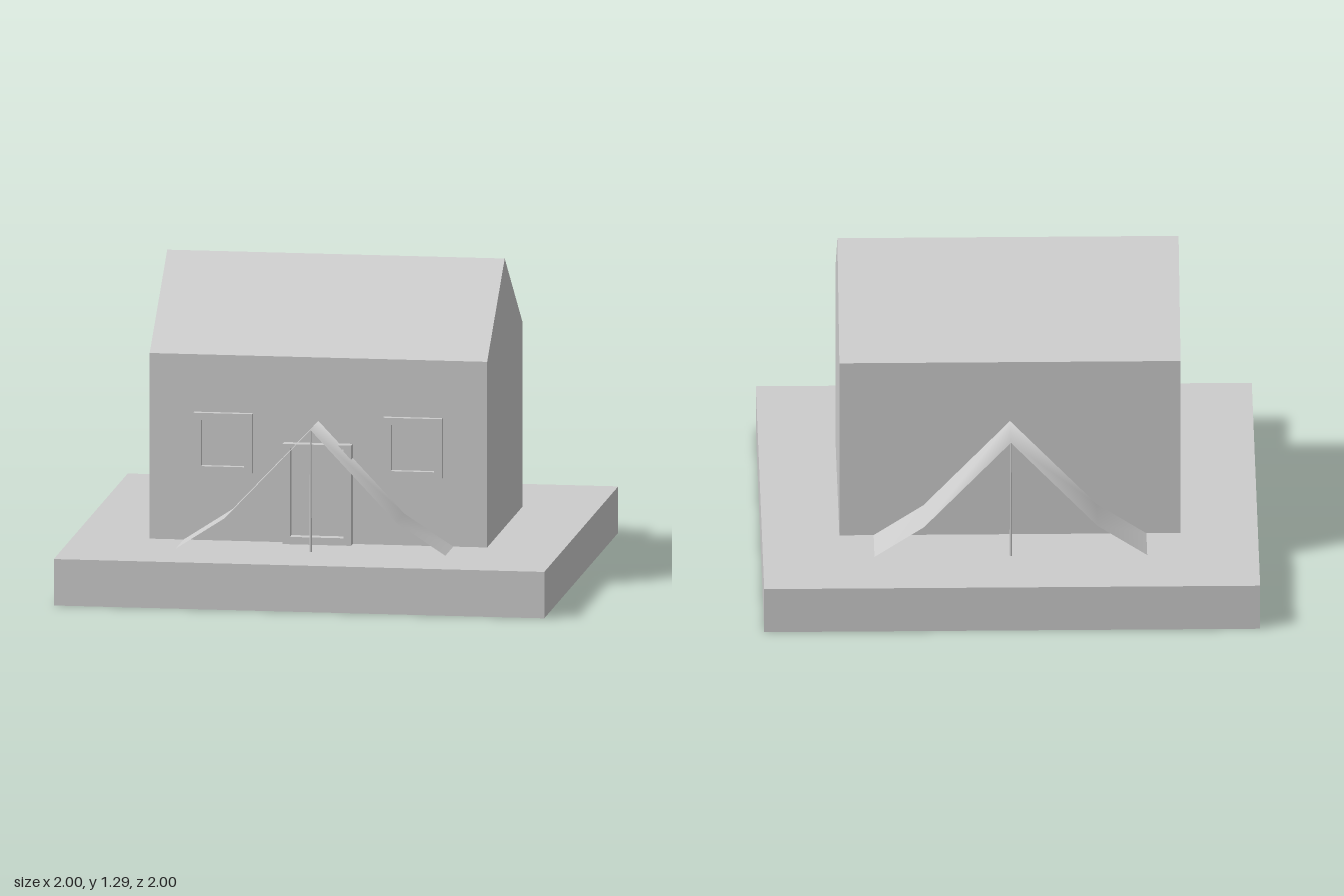
import * as THREE from 'three';

const material = new THREE.MeshStandardMaterial({ color: 0xcccccc });
const sheetMaterial = new THREE.MeshStandardMaterial({ color: 0xcccccc, side: THREE.DoubleSide });

const GROUND = 0.19, WALL_Z = 0.475, CANOPY_Z = 0.69;

function addMesh(parent, name, geometry, mat = material) {
  const mesh = new THREE.Mesh(geometry, mat);
  mesh.name = name;
  parent.add(mesh);
  return mesh;
}

// Closed path through the corners of a rectangle
function rectangle(Type, x0, y0, x1, y1) {
  return new Type([[x0, y0], [x1, y0], [x1, y1], [x0, y1]].map(p => new THREE.Vector2(...p)));
}

// Rectangular surround standing proud of the front wall
function addFrame(parent, name, outer, inner, depth) {
  const shape = rectangle(THREE.Shape, ...outer);
  shape.holes.push(rectangle(THREE.Path, ...inner));
  const geometry = new THREE.ExtrudeGeometry(shape, { depth, bevelEnabled: false });
  addMesh(parent, name, geometry).position.z = WALL_Z;
}

// Smooth thin sheet: a tent profile swept along z
function canopyGeometry(z0, z1) {
  const profile = [[-0.55, 0.19], [-0.35, 0.32], [0, 0.69], [0.35, 0.32], [0.55, 0.19]];
  const geometry = new THREE.PlaneGeometry(1, 1, profile.length - 1, 1);
  const position = geometry.attributes.position;
  for (let i = 0; i < position.count; i++) {
    const [x, y] = profile[i % profile.length];
    position.setXYZ(i, x, y, i < profile.length ? z0 : z1);
  }
  geometry.computeVertexNormals();
  return geometry;
}

export function createModel() {
  const model = new THREE.Group();
  model.name = 'cottage';

  // Square ground slab
  addMesh(model, 'groundSlab', new THREE.BoxGeometry(2, GROUND, 2)).position.y = GROUND / 2;

  // Gabled house, extruded from one gable end to the other
  const gable = new THREE.Shape([
    [-WALL_Z, GROUND], [WALL_Z, GROUND], [WALL_Z, 0.95], [0, 1.29], [-WALL_Z, 0.95],
  ].map(p => new THREE.Vector2(...p)));
  const house = new THREE.ExtrudeGeometry(gable, { depth: 1.376, bevelEnabled: false });
  house.translate(0, 0, -0.688).rotateY(Math.PI / 2);
  addMesh(model, 'house', house);

  // Door and window surrounds
  addFrame(model, 'doorFrame', [-0.14, GROUND, 0.14, 0.6], [-0.11, 0.22, 0.11, 0.583], 0.045);
  for (const [side, x] of [['right', -0.387], ['left', 0.387]]) {
    addFrame(model, side + 'WindowFrame',
      [x - 0.12, 0.47, x + 0.12, 0.715], [x - 0.088, 0.497, x + 0.088, 0.686], 0.027);
  }

  // Tent canopies against the front and back walls, each with a centre pole
  for (const [name, sign] of [['front', 1], ['back', -1]]) {
    const [z0, z1] = sign > 0 ? [WALL_Z, CANOPY_Z] : [-CANOPY_Z, -WALL_Z];
    addMesh(model, name + 'Canopy', canopyGeometry(z0, z1), sheetMaterial);
    const pole = addMesh(model, name + 'Pole', new THREE.CylinderGeometry(0.003, 0.005, 0.5, 8));
    pole.position.set(0, GROUND + 0.248, sign * (CANOPY_Z - 0.005));
  }
  return model;
}
